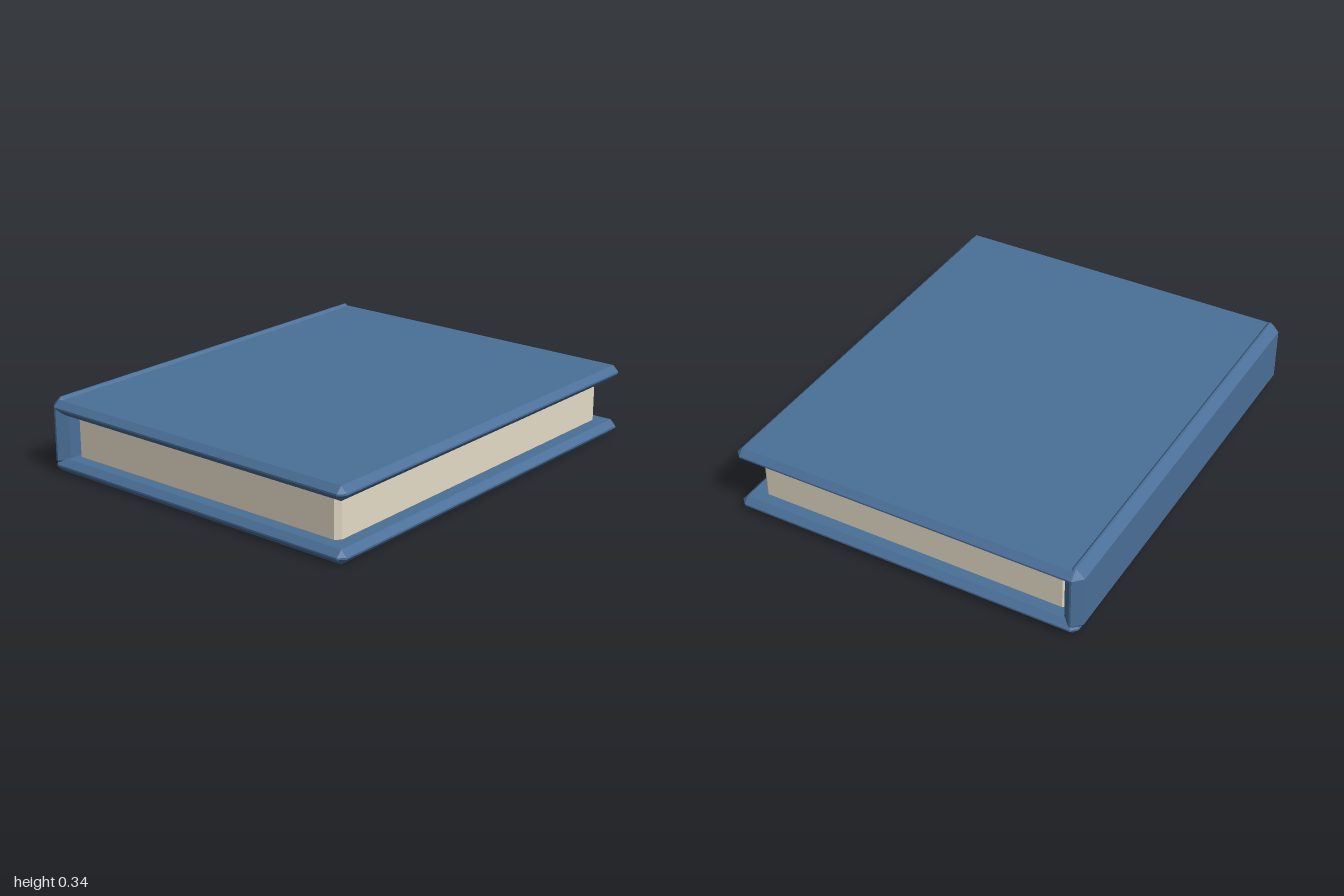
import * as THREE from 'three';
import { ConvexGeometry } from 'three/addons/geometries/ConvexGeometry.js';

// Box with flat chamfers on every edge and corner, given by its min and max corners
function chamferBox(name, material, min, max, bevel) {
  const half = max.map((v, i) => (v - min[i]) / 2);
  const points = [];
  for (const sx of [-1, 1]) for (const sy of [-1, 1]) for (const sz of [-1, 1]) {
    // each corner becomes three points, one on each adjoining face
    for (let axis = 0; axis < 3; axis++) {
      const [x, y, z] = half.map((h, i) => (i === axis ? h : h - bevel));
      points.push(new THREE.Vector3(sx * x, sy * y, sz * z));
    }
  }
  const mesh = new THREE.Mesh(new ConvexGeometry(points), material);
  mesh.name = name;
  mesh.position.set(...max.map((v, i) => (v + min[i]) / 2));
  return mesh;
}

export function createModel() {
  const coverBlue = new THREE.MeshStandardMaterial({ color: 0x4a6f98 });
  coverBlue.name = 'coverBlue';
  const paperCream = new THREE.MeshStandardMaterial({ color: 0xe4dbc6 });
  paperCream.name = 'paperCream';

  const book = new THREE.Group();
  book.name = 'book';
  book.add(
    // Hard boards
    chamferBox('bottomCover', coverBlue, [-0.81, 0, -1], [0.823, 0.062, 1], 0.027),
    chamferBox('topCover', coverBlue, [-0.81, 0.262, -1], [0.823, 0.324, 1], 0.027),
    // Spine joining the boards along the -x side
    chamferBox('spine', coverBlue, [-0.825, 0.015, -1], [-0.738, 0.335, 1], 0.039),
    // Page block, slightly sunk into both boards
    chamferBox('pages', paperCream, [-0.73, 0.045, -0.925], [0.742, 0.275, 0.925], 0.021),
  );
  return book;
}
